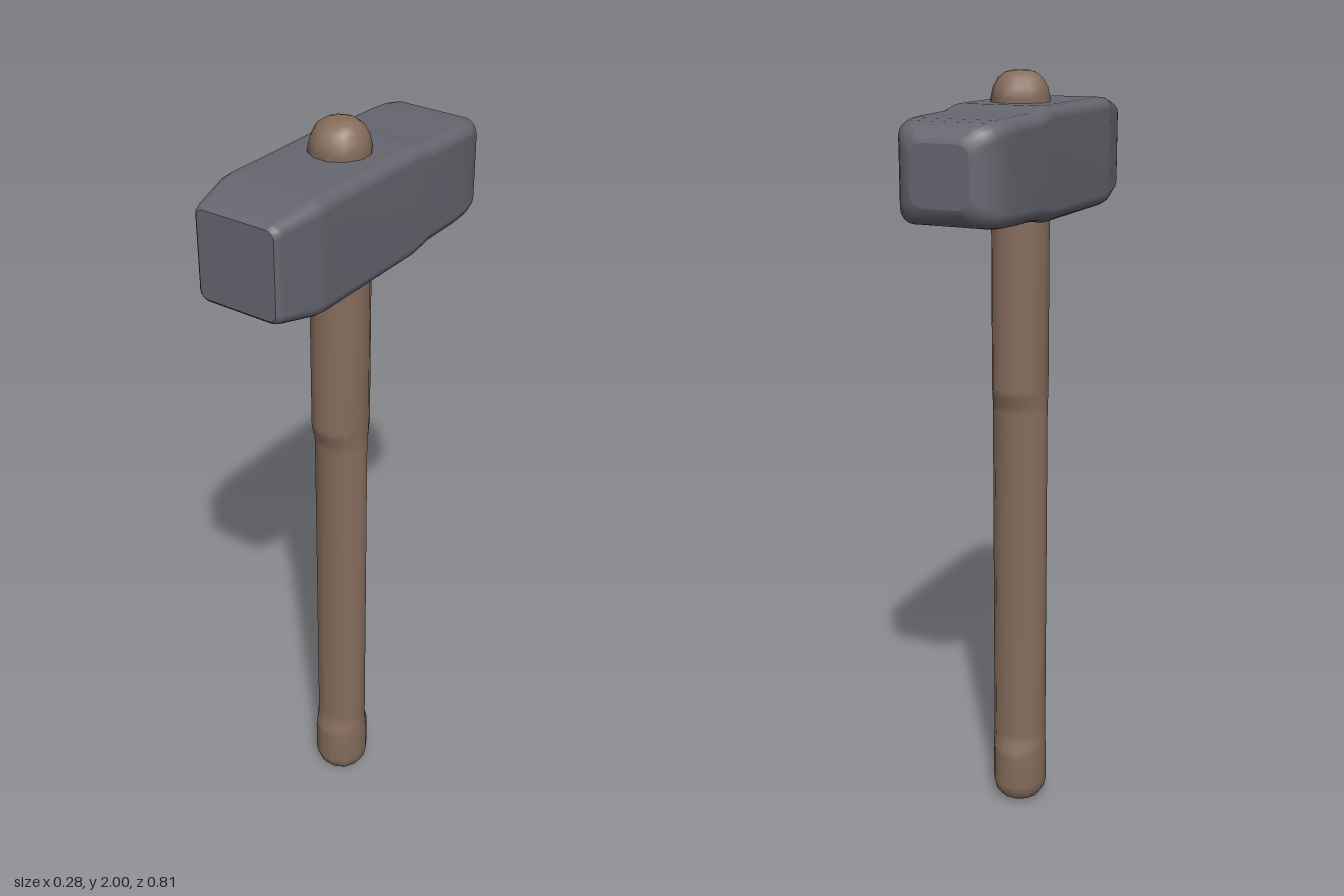
import * as THREE from 'three';

// Smooth skin through closed rings of points, with flat caps on both ends
function loft(rings) {
  const n = rings[0].length, last = rings.length - 1;
  const pos = rings.flat(2), index = [];
  for (let i = 0; i < last; i++) {
    for (let j = 0; j < n; j++) {
      const k = (j + 1) % n;
      const a = i * n + j, b = i * n + k, c = b + n, d = a + n;
      index.push(a, b, c, a, c, d);
    }
  }
  [rings[0], rings[last]].forEach((ring, end) => {
    const base = pos.length / 3;
    pos.push(...ring.flat());
    for (let j = 1; j < n - 1; j++) {
      if (end) index.push(base, base + j, base + j + 1);
      else index.push(base, base + j + 1, base + j);
    }
  });
  const g = new THREE.BufferGeometry();
  g.setAttribute('position', new THREE.Float32BufferAttribute(pos, 3));
  g.setIndex(index);
  g.computeVertexNormals();
  return g;
}

// Rounded rectangle facing +z
function roundedRing(z, w, bottom, top, r) {
  const pts = [], cy = (top + bottom) / 2, h = (top - bottom) / 2, steps = 4;
  [[1, 1], [-1, 1], [-1, -1], [1, -1]].forEach(([sx, sy], q) => {
    for (let s = 0; s <= steps; s++) {
      const a = (q + s / steps) * Math.PI / 2;
      pts.push([sx * (w - r) + r * Math.cos(a), cy + sy * (h - r) + r * Math.sin(a), z]);
    }
  });
  return pts;
}

// Twelve-sided oval lying flat at height y
function ovalRing(y, rx, rz) {
  return Array.from({ length: 12 }, (_, i) => {
    const a = (i + 0.5) * Math.PI / 6;
    return [rx * Math.cos(a), y, -rz * Math.sin(a)];
  });
}

export function createModel() {
  const model = new THREE.Group();
  const steel = new THREE.MeshStandardMaterial({ color: 0x65666f });
  steel.name = 'dark steel';
  const wood = new THREE.MeshStandardMaterial({ color: 0x856d5c });
  wood.name = 'brown wood';

  // Head: rounded poll at the back, tapered striking face at the front
  const head = new THREE.Mesh(loft([
    // z, half width, bottom, top, corner radius
    [-0.405, 0.075, 1.715, 1.86, 0.03],
    [-0.4, 0.09, 1.7, 1.875, 0.032],
    [-0.385, 0.11, 1.682, 1.893, 0.035],
    [-0.36, 0.127, 1.671, 1.904, 0.035],
    [-0.325, 0.136, 1.667, 1.908, 0.034],
    [-0.27, 0.139, 1.665, 1.91, 0.032],
    [-0.15, 0.139, 1.663, 1.913, 0.032],
    [-0.12, 0.139, 1.657, 1.919, 0.032],
    [-0.09, 0.139, 1.651, 1.925, 0.032],
    [0.26, 0.139, 1.65, 1.926, 0.032],
    [0.29, 0.137, 1.652, 1.924, 0.032],
    [0.385, 0.116, 1.67, 1.905, 0.026],
    [0.397, 0.112, 1.674, 1.901, 0.024],
    [0.403, 0.105, 1.681, 1.894, 0.02],
  ].map(s => roundedRing(...s))), steel);
  head.name = 'hammerHead';

  // Handle: waisted front to back, swelling at the grip end and the neck
  const handle = new THREE.Mesh(loft([
    // y, half width, half depth
    [0, 0.032, 0.032],
    [0.012, 0.056, 0.056],
    [0.03, 0.069, 0.069],
    [0.055, 0.075, 0.075],
    [0.145, 0.075, 0.075],
    [0.165, 0.075, 0.071],
    [0.19, 0.075, 0.059],
    [0.21, 0.075, 0.057],
    [1.14, 0.075, 0.057],
    [1.16, 0.075, 0.06],
    [1.185, 0.075, 0.071],
    [1.205, 0.075, 0.075],
    [1.935, 0.075, 0.075],
    [1.96, 0.069, 0.069],
    [1.982, 0.057, 0.057],
    [1.995, 0.04, 0.04],
    [2, 0.022, 0.022],
  ].map(s => ovalRing(...s))), wood);
  handle.name = 'handle';
  handle.position.z = 0.025;

  model.add(head, handle);
  return model;
}
